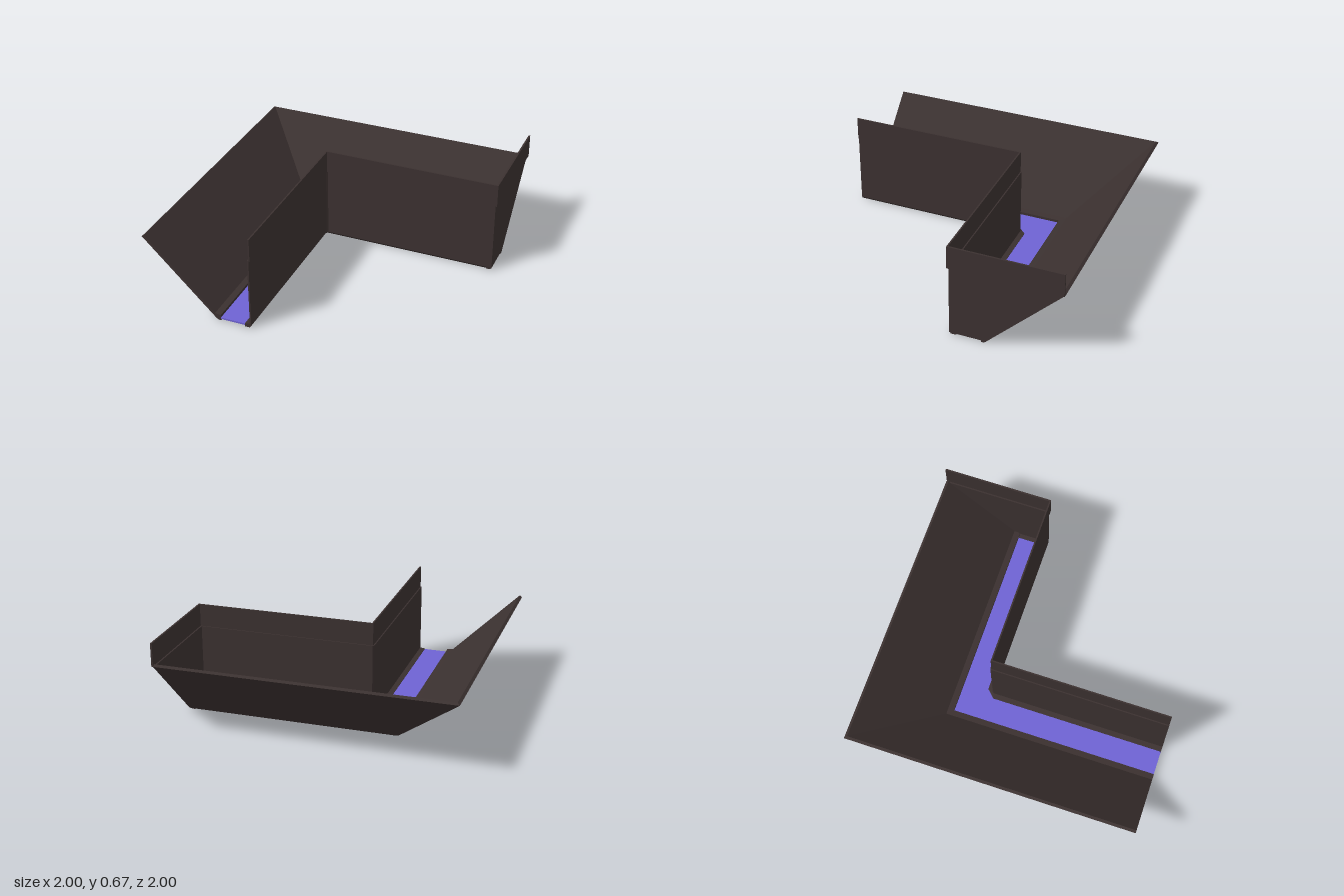
import * as THREE from 'three';

const dark = new THREE.MeshStandardMaterial({ color: 0x3b3130, side: THREE.DoubleSide });
dark.name = 'darkBrown';
const violet = new THREE.MeshStandardMaterial({ color: 0x6e63d3, side: THREE.DoubleSide });
violet.name = 'violet';

// Sweeps a closed profile round the L: along z at x = d, then along x at z = d.
// Profile points are [d, y, c], counter-clockwise; c is the corner chamfer.
function sweepL(profile, zEnd, xEnd) {
  const rings = [
    profile.map(([d, y]) => new THREE.Vector3(d, y, zEnd)),
    profile.map(([d, y, c = 0]) => new THREE.Vector3(d, y, d + c)),
    profile.map(([d, y, c = 0]) => new THREE.Vector3(d + c, y, d)),
    profile.map(([d, y]) => new THREE.Vector3(xEnd, y, d)),
  ];
  const pos = [];
  const tri = (a, b, c) => {
    if (new THREE.Triangle(a, b, c).getArea() < 1e-9) return;
    for (const v of [a, b, c]) pos.push(v.x, v.y, v.z);
  };
  const n = profile.length;
  for (let r = 0; r < 3; r++) {
    for (let i = 0; i < n; i++) {
      const j = (i + 1) % n;
      const p = rings[r], q = rings[r + 1];
      tri(p[i], q[i], p[j]);
      tri(p[j], q[i], q[j]);
    }
  }
  const faces = THREE.ShapeUtils.triangulateShape(profile.map(([d, y]) => new THREE.Vector2(d, y)), []);
  for (const [a, b, c] of faces) {
    tri(rings[0][a], rings[0][b], rings[0][c]);
    tri(rings[3][a], rings[3][c], rings[3][b]);
  }
  const g = new THREE.BufferGeometry();
  g.setAttribute('position', new THREE.Float32BufferAttribute(pos, 3));
  g.computeVertexNormals();
  return g;
}

function extrude(points, depth) {
  const shape = new THREE.Shape(points.map(([x, y]) => new THREE.Vector2(x, y)));
  return new THREE.ExtrudeGeometry(shape, { depth, bevelEnabled: false });
}

export function createModel() {
  const group = new THREE.Group();
  const add = (name, geometry, material = dark) => {
    const mesh = new THREE.Mesh(geometry, material);
    mesh.name = name;
    group.add(mesh);
  };

  // Sloped outer wall with its foot rim
  add('slopedOuterWall', sweepL([
    [-1, 0.512], [-0.49, 0.01], [-0.475, 0], [-0.458, 0],
    [-0.458, 0.04], [-0.5, 0.045], [-0.983, 0.524],
  ], 0.995, 0.985));

  // Upright inner wall with its foot rim, chamfered at the corner
  add('innerWall', sweepL([
    [-0.285, 0, 0.055], [-0.25, 0, 0.01], [-0.24, 0.015, 0.01], [-0.24, 0.515, 0.01],
    [-0.25, 0.515, 0.01], [-0.25, 0.03, 0.01], [-0.285, 0.024, 0.055],
  ], 0.995, 0.98));

  // Raised band along the inner wall
  add('innerBand', sweepL([
    [-0.242, 0.51], [-0.232, 0.51], [-0.232, 0.67], [-0.242, 0.67],
  ], 0.995, 0.997));

  // Closed end: plate, foot rim and band
  const plate = extrude([[0.24, 0.012], [0.49, 0.012], [0.995, 0.515], [0.24, 0.515]], 0.01);
  plate.rotateY(Math.PI / 2);
  plate.translate(0.975, 0, 0);
  add('endPlate', plate);

  const foot = extrude([[0.945, 0], [0.97, 0], [0.985, 0.015], [0.98, 0.03], [0.945, 0.024]], 0.24);
  foot.translate(0, 0, -0.482);
  add('endFootRim', foot);

  const band = new THREE.BoxGeometry(0.012, 0.16, 0.766);
  band.translate(0.991, 0.59, -0.615);
  add('endBand', band);

  // L-shaped floor panel
  const floor = extrude([
    [-0.46, 0.994], [-0.46, -0.46], [0.947, -0.46], [0.947, -0.285],
    [-0.23, -0.285], [-0.285, -0.23], [-0.285, 0.994],
  ], 0.012);
  floor.rotateX(Math.PI / 2);
  floor.translate(0, 0.021, 0);
  add('floorPanel', floor, violet);

  return group;
}
